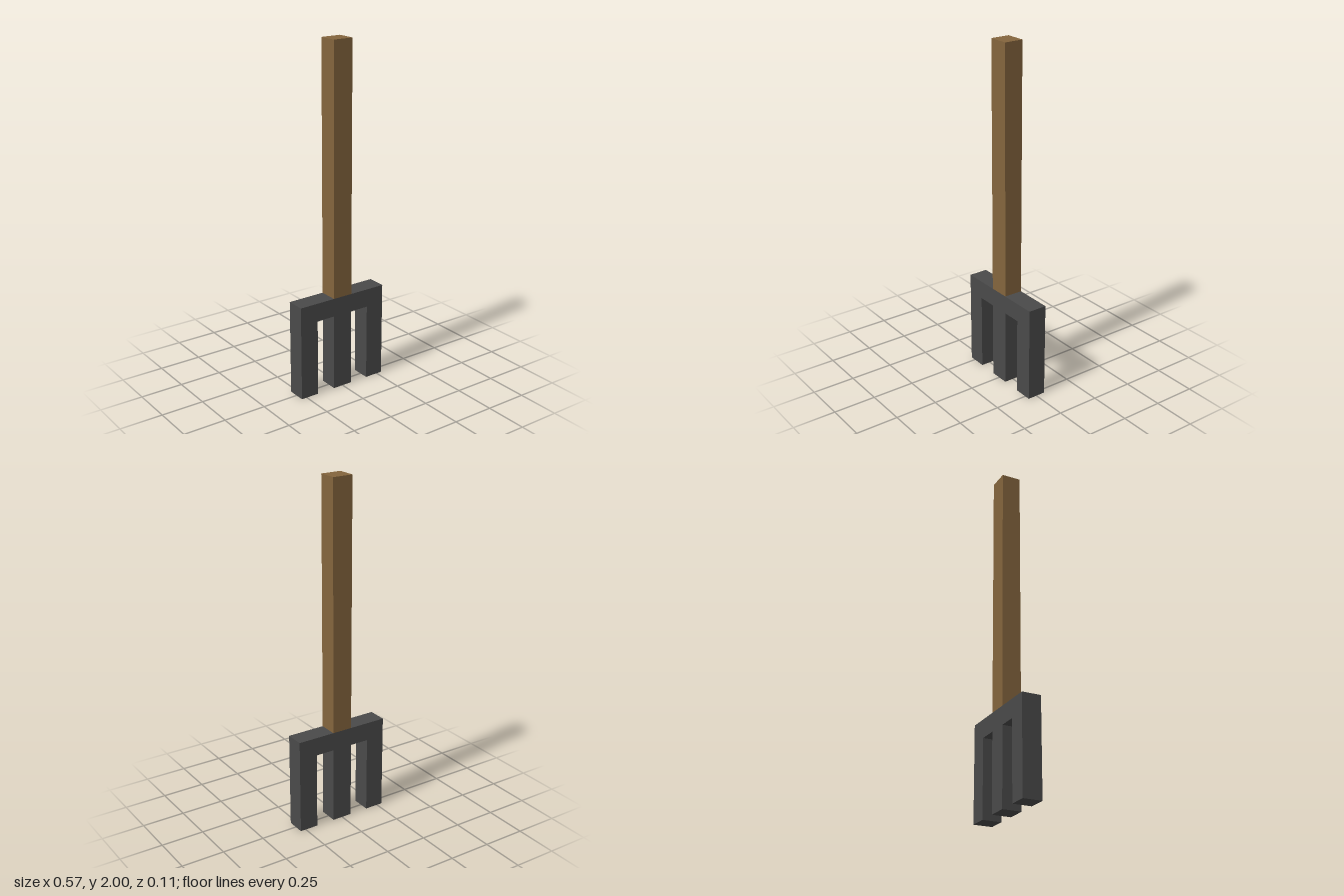
import * as THREE from 'three';

const DEPTH = 0.11;
const HEAD_TOP = 0.557;
const HEAD_HALF = 0.283;
const BAR_BOTTOM = 0.45;
const SHAFT_HALF = 0.06;
const GAP_OUTER = 0.172;

export function createModel() {
  const model = new THREE.Group();
  model.name = 'gardenFork';

  const iron = new THREE.MeshStandardMaterial({ color: 0x4a4a4a, flatShading: true });
  const wood = new THREE.MeshStandardMaterial({ color: 0x84653d, flatShading: true });

  // Head: crossbar and three square tines as one outline
  const outline = [
    [-HEAD_HALF, 0], [-GAP_OUTER, 0], [-GAP_OUTER, BAR_BOTTOM], [-SHAFT_HALF, BAR_BOTTOM],
    [-SHAFT_HALF, 0], [SHAFT_HALF, 0], [SHAFT_HALF, BAR_BOTTOM], [GAP_OUTER, BAR_BOTTOM],
    [GAP_OUTER, 0], [HEAD_HALF, 0], [HEAD_HALF, HEAD_TOP], [-HEAD_HALF, HEAD_TOP],
  ].map(([x, y]) => new THREE.Vector2(x, y));
  const headGeometry = new THREE.ExtrudeGeometry(new THREE.Shape(outline), {
    depth: DEPTH, bevelEnabled: false,
  });
  headGeometry.translate(0, 0, -DEPTH / 2);
  const head = new THREE.Mesh(headGeometry, iron);
  head.name = 'forkHead';
  model.add(head);

  // Handle: square wooden shaft standing on the crossbar
  const length = 2 - HEAD_TOP;
  const handle = new THREE.Mesh(new THREE.BoxGeometry(SHAFT_HALF * 2, length, DEPTH), wood);
  handle.name = 'handle';
  handle.position.y = HEAD_TOP + length / 2;
  model.add(handle);

  return model;
}
